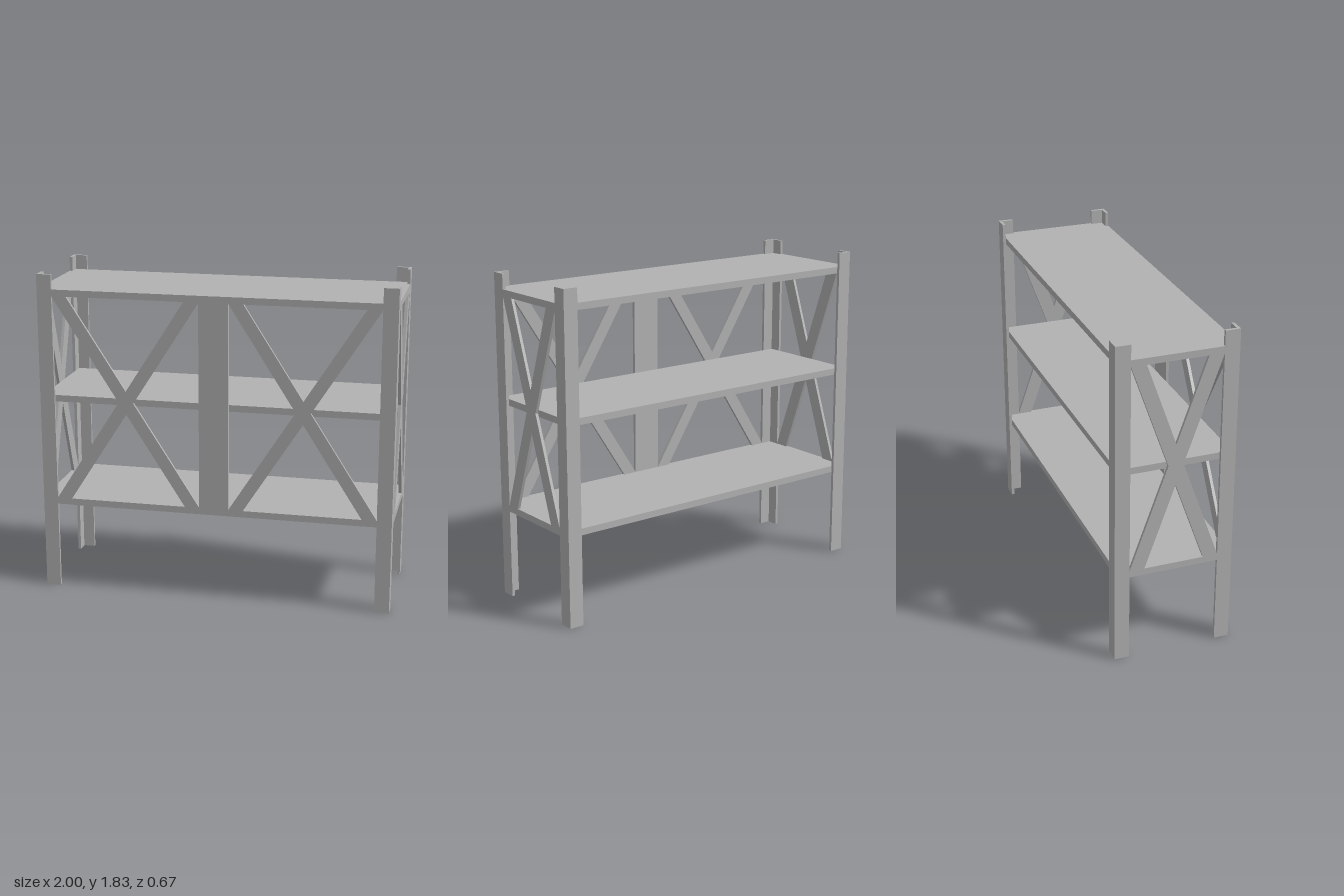
import * as THREE from 'three';

const X = 1, Z = 0.3333;      // outer half width and half depth
const T = 0.0167;             // sheet thickness
const F = 0.0833;             // flange and brace width
const HEIGHT = 1.833;
const SHELF = 0.0375;         // shelf and rail thickness
const LOW = 0.503, TOP = 1.75; // bottom of lowest shelf, top of highest
const MID = (LOW + TOP) / 2;

export function createModel() {
  const model = new THREE.Group();
  model.name = 'shelvingUnit';
  const steel = new THREE.MeshStandardMaterial({ color: 0xb2b2b2 });
  steel.name = 'grey steel';

  const add = (name, geometry, x, y, z, turn = 0) => {
    const mesh = new THREE.Mesh(geometry, steel);
    mesh.name = name;
    mesh.position.set(x, y, z);
    mesh.rotation.y = turn;
    model.add(mesh);
  };
  const box = (name, w, h, d, x, y, z) => add(name, new THREE.BoxGeometry(w, h, d), x, y, z);

  // One-piece X brace filling a bay of half width w and half height h
  const crossBrace = (w, h) => {
    const m = F / 2, n = h * F / (2 * w - F);
    const points = [
      [-w, h], [-w + F, h], [0, n], [w - F, h], [w, h], [m, 0],
      [w, -h], [w - F, -h], [0, -n], [-w + F, -h], [-w, -h], [-m, 0],
    ].map(([x, y]) => new THREE.Vector2(x, y));
    const geometry = new THREE.ExtrudeGeometry(new THREE.Shape(points), { depth: T, bevelEnabled: false });
    return geometry.translate(0, 0, -T / 2);
  };

  // Angle-section corner posts
  const angle = new THREE.Shape([
    [0, 0], [F, 0], [F, T], [T, T], [T, F], [0, F],
  ].map(([x, y]) => new THREE.Vector2(x, y)));
  const post = new THREE.ExtrudeGeometry(angle, { depth: HEIGHT, bevelEnabled: false });
  post.rotateX(-Math.PI / 2);   // section corner at the origin, arms along +x and -z
  add('frontRightPost', post, -X, 0, Z, 0);
  add('frontLeftPost', post, X, 0, Z, Math.PI / 2);
  add('backLeftPost', post, X, 0, -Z, Math.PI);
  add('backRightPost', post, -X, 0, -Z, -Math.PI / 2);

  // Three shelves
  const levels = [LOW + SHELF / 2, MID, TOP - SHELF / 2];
  ['lowerShelf', 'middleShelf', 'upperShelf'].forEach((name, i) =>
    box(name, 2 * (X - T), SHELF, 2 * (Z - T), 0, levels[i], 0));

  const halfHeight = (TOP - LOW) / 2 - SHELF;
  const zFront = Z - T / 2, xSide = X - T / 2;

  // Front panel: rails, centre plate and two braced bays
  box('frontCentrePlate', 2 * F, TOP - LOW, T, 0, MID, zFront);
  const bay = X - 2 * F;
  const frontBrace = crossBrace(bay / 2, halfHeight);
  for (const s of [-1, 1]) {
    const x = s * (F + bay / 2);
    for (const y of [levels[0], levels[2]]) box('frontRail', bay, SHELF, T, x, y, zFront);
    add('frontCrossBrace', frontBrace, x, MID, zFront);
  }

  // End panels: rails and one braced bay each
  const sideBay = 2 * (Z - F);
  const sideBrace = crossBrace(sideBay / 2, halfHeight);
  for (const s of [-1, 1]) {
    for (const y of [levels[0], levels[2]]) box('sideRail', T, SHELF, sideBay, s * xSide, y, 0);
    add('sideCrossBrace', sideBrace, s * xSide, MID, 0, Math.PI / 2);
  }
  return model;
}
